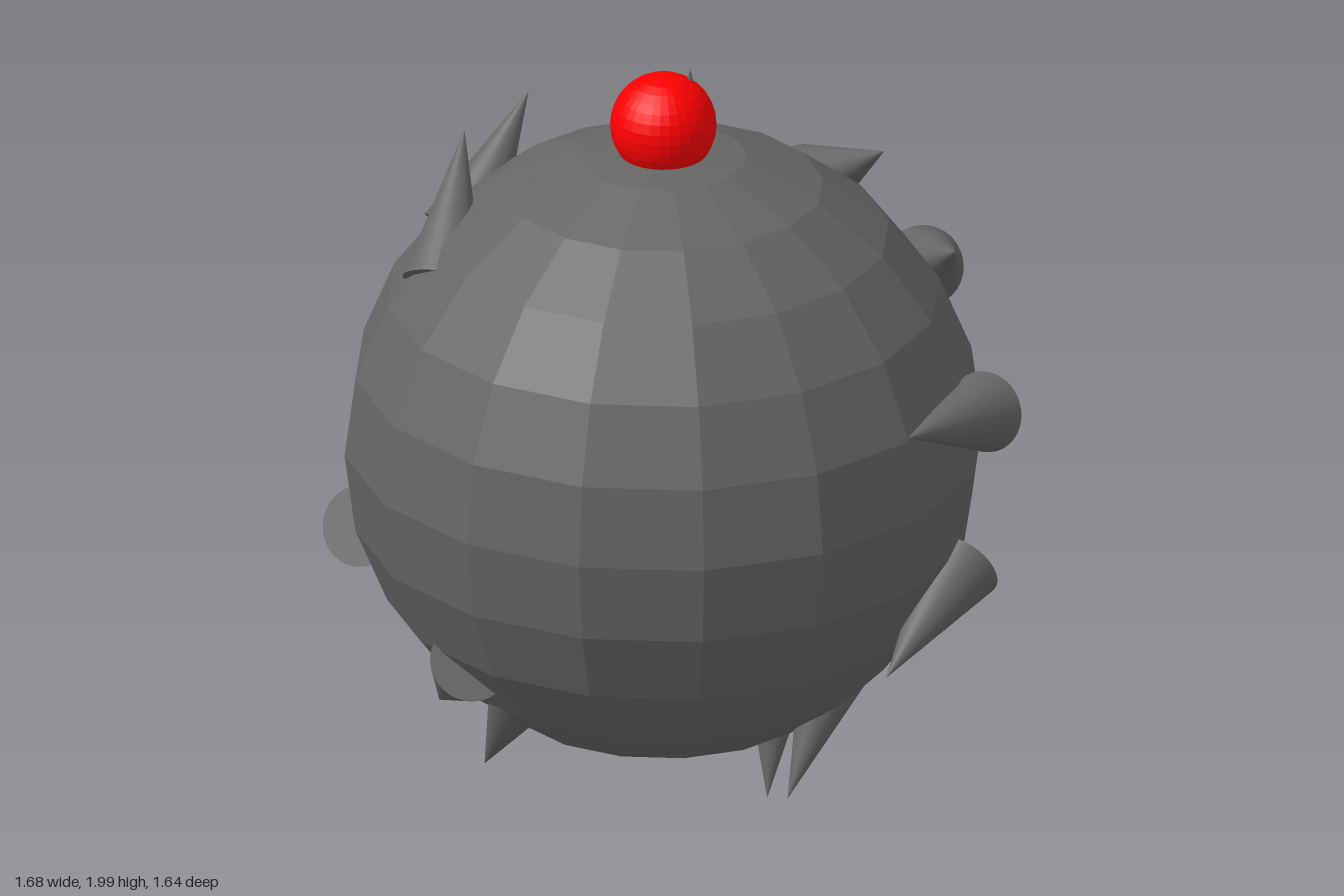
import * as THREE from 'three';

const SPIKE_RADIUS = 0.105;

// Each spike: centre of its base, then its tip
const SPIKES = [
  [[0.735, 1.13, -0.365], [0.80, 1.22, 0.04]],
  [[0.70, 0.71, -0.31], [0.745, 0.54, 0.06]],
  [[0.25, 1.27, -0.735], [0.53, 1.47, -0.505]],
  [[-0.09, 1.42, -0.69], [0.236, 1.64, -0.59]],
  [[-0.57, 1.45, 0.13], [-0.54, 1.765, -0.11]],
  [[-0.42, 1.45, 0.40], [-0.53, 1.76, 0.17]],
  [[-0.70, 0.68, 0.385], [-0.77, 0.51, 0.02]],
  [[-0.155, 0.54, 0.63], [-0.41, 0.29, 0.43]],
  [[-0.067, 0.476, 0.496], [-0.28, 0.14, 0.41]],
  [[0.45, 0.47, -0.135], [0.45, 0.13, 0.09]],
  [[0.185, 0.39, -0.22], [0.245, 0.01, -0.09]],
  [[0.0, 1.59, -0.07], [0.02, 2.0, -0.06]],
];

// Cone running from a base centre to a tip
function makeSpike([from, to], material) {
  const base = new THREE.Vector3(...from);
  const tip = new THREE.Vector3(...to);
  const axis = tip.clone().sub(base);
  const spike = new THREE.Mesh(new THREE.ConeGeometry(SPIKE_RADIUS, axis.length(), 32), material);
  spike.position.copy(base).add(tip).multiplyScalar(0.5);
  spike.quaternion.setFromUnitVectors(new THREE.Vector3(0, 1, 0), axis.normalize());
  spike.name = 'spike';
  return spike;
}

export function createModel() {
  const model = new THREE.Group();
  model.name = 'spikedBall';
  const bodyMaterial = new THREE.MeshStandardMaterial({ color: 0x666666, flatShading: true });
  const spikeMaterial = new THREE.MeshStandardMaterial({ color: 0x666666 });
  const redMaterial = new THREE.MeshStandardMaterial({ color: 0xff0000, flatShading: true });

  // Faceted main ball
  const body = new THREE.Mesh(new THREE.SphereGeometry(0.82, 16, 12), bodyMaterial);
  body.name = 'body';
  body.position.set(-0.02, 0.975, 0);
  model.add(body);

  // Small red ball on top
  const knob = new THREE.Mesh(new THREE.SphereGeometry(0.136, 32, 16), redMaterial);
  knob.name = 'topKnob';
  knob.position.set(-0.02, 1.857, 0);
  model.add(knob);

  // Spikes scattered over the surface
  const spikes = new THREE.Group();
  spikes.name = 'spikes';
  for (const ends of SPIKES) spikes.add(makeSpike(ends, spikeMaterial));
  model.add(spikes);

  return model;
}
